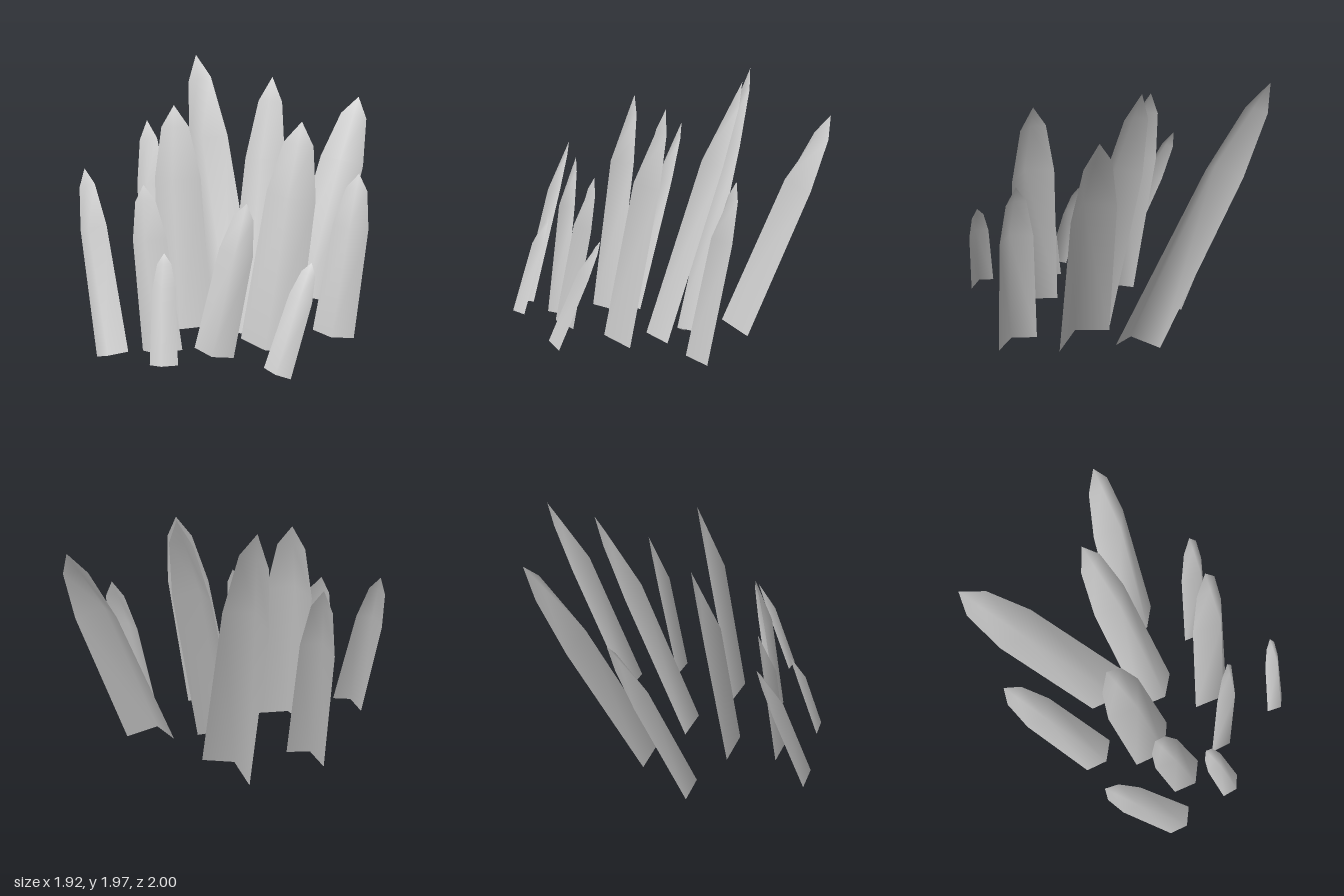
import * as THREE from 'three';

// Each blade: base left corner, base right corner, tip
const BLADES = [
  [[-0.24, 0.01, -0.33], [0.14, 0.12, -0.30], [-0.55, 1.98, -1.00]],
  [[0.295, 0.315, -0.43], [0.685, 0.255, -0.41], [0.75, 1.73, -0.95]],
  [[-0.03, 0.13, 0.00], [0.33, 0.14, 0.03], [0.16, 1.92, -0.59]],
  [[-0.69, 0.11, -0.04], [-0.405, 0.165, -0.03], [-0.80, 1.55, -0.525]],
  [[0.615, 0.205, -0.02], [0.915, 0.18, -0.015], [0.87, 1.35, -0.22]],
  [[-0.46, 0.255, 0.27], [-0.06, 0.29, 0.27], [-0.40, 1.81, 0.01]],
  [[0.18, 0.275, 0.38], [0.58, 0.235, 0.39], [0.52, 1.78, 0.12]],
  [[-0.73, 0.215, 0.78], [-0.50, 0.285, 0.78], [-0.93, 1.42, 0.37]],
  [[-0.455, 0.22, 0.625], [-0.165, 0.27, 0.635], [-0.48, 1.36, 0.44]],
  [[-0.06, 0.33, 0.69], [0.205, 0.28, 0.67], [0.25, 1.32, 0.52]],
  [[-0.285, 0.305, 0.95], [-0.095, 0.325, 0.94], [-0.25, 1.00, 0.71]],
  [[0.455, 0.345, 0.86], [0.635, 0.30, 0.88], [0.70, 1.00, 0.62]],
];

// Stations along a blade: position, edge half-width, ridge depth (in base half-widths)
const STATIONS = [[0, 1, 0.6], [0.68, 0.84, 0.6], [0.905, 0.5, 0.18]];

// A thin folded sheet with a ridge on its front, narrowing to a point
function bladeGeometry(left, right, tip) {
  const l = new THREE.Vector3(...left);
  const r = new THREE.Vector3(...right);
  const end = new THREE.Vector3(...tip);
  const base = l.clone().add(r).multiplyScalar(0.5);
  const axis = end.clone().sub(base);
  const side = r.clone().sub(base);
  const ridge = side.clone().cross(axis).setLength(side.length());

  const points = [];
  for (const [t, width, depth] of STATIONS) {
    const mid = base.clone().addScaledVector(axis, t);
    points.push(
      mid.clone().addScaledVector(side, -width),
      mid.clone().addScaledVector(ridge, depth),
      mid.clone().addScaledVector(side, width));
  }
  points.push(end);

  const index = [];
  for (let row = 0; row < STATIONS.length; row++) {
    for (let col = 0; col < 2; col++) {
      const a = row * 3 + col;
      if (row < STATIONS.length - 1) index.push(a, a + 1, a + 4, a, a + 4, a + 3);
      else index.push(a, a + 1, points.length - 1);
    }
  }
  const geometry = new THREE.BufferGeometry().setFromPoints(points);
  geometry.setIndex(index);
  geometry.computeVertexNormals();
  return geometry;
}

export function createModel() {
  const group = new THREE.Group();
  group.name = 'bladeCluster';
  const material = new THREE.MeshStandardMaterial({ color: 0xcccccc, side: THREE.DoubleSide });
  BLADES.forEach(([left, right, tip], i) => {
    const blade = new THREE.Mesh(bladeGeometry(left, right, tip), material);
    blade.name = `blade${i + 1}`;
    group.add(blade);
  });
  return group;
}
